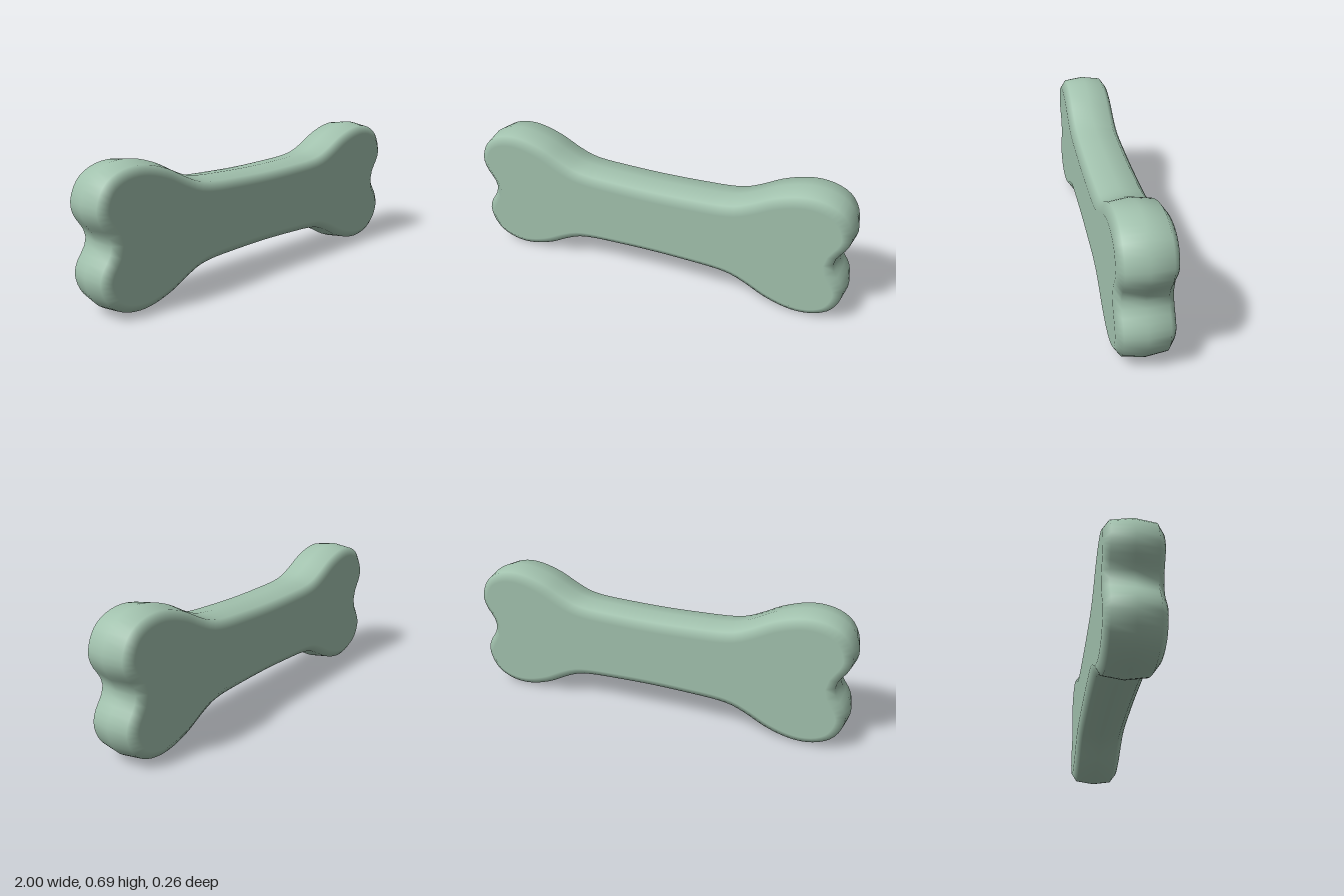
import * as THREE from 'three';

// Upper right quarter of the outline, from end notch to middle of shaft (y from centre line)
const QUARTER = [
  [0.935, 0], [0.947, 0.04], [0.975, 0.08], [0.995, 0.125], [1.0, 0.165], [0.985, 0.225],
  [0.955, 0.275], [0.92, 0.305], [0.86, 0.332], [0.78, 0.343], [0.7, 0.333], [0.6, 0.3],
  [0.5, 0.248], [0.43, 0.218], [0.36, 0.205], [0.2, 0.197], [0, 0.193],
];
const CENTRE_Y = 0.344;
// Cross-section rounding: [z, inset of the outline]
const RINGS = [[-0.13, 0.056], [-0.1, 0.014], [0, 0], [0.1, 0.014], [0.13, 0.056]];
const N = 160;

// Mirror the quarter into a closed anticlockwise curve
function outlineCurve() {
  const upper = [...QUARTER, ...QUARTER.slice(0, -1).reverse().map(([x, y]) => [-x, y])];
  const lower = upper.slice(1, -1).reverse().map(([x, y]) => [x, -y]);
  const points = [...upper, ...lower].map(([x, y]) => new THREE.Vector3(x, y, 0));
  return new THREE.CatmullRomCurve3(points, true, 'centripetal');
}

function boneGeometry() {
  const curve = outlineCurve();
  const positions = [], index = [];

  // Rounded rim: inset copies of the outline joined by quads
  RINGS.forEach(([z, inset]) => {
    for (let i = 0; i < N; i++) {
      const p = curve.getPointAt(i / N);
      const t = curve.getTangentAt(i / N);
      positions.push(p.x - t.y * inset, CENTRE_Y + p.y + t.x * inset, z);
    }
  });
  for (let r = 0; r < RINGS.length - 1; r++) {
    for (let i = 0; i < N; i++) {
      const j = (i + 1) % N;
      const a = r * N + i, b = r * N + j, c = a + N, d = b + N;
      index.push(a, b, d, a, d, c);
    }
  }
  const geometry = new THREE.BufferGeometry();
  geometry.setAttribute('position', new THREE.Float32BufferAttribute(positions, 3));
  geometry.setIndex(index);
  geometry.computeVertexNormals();

  // Flat faces on both sides, with the rim shading running smoothly into them
  const last = (RINGS.length - 1) * N;
  const contour = [];
  for (let i = 0; i < N; i++) {
    contour.push(new THREE.Vector2(positions[i * 3], positions[i * 3 + 1]));
    geometry.attributes.normal.setXYZ(i, 0, 0, -1);
    geometry.attributes.normal.setXYZ(last + i, 0, 0, 1);
  }
  THREE.ShapeUtils.triangulateShape(contour, []).forEach(([a, b, c]) => {
    index.push(last + a, last + b, last + c, a, c, b);
  });
  geometry.setIndex(index);
  return geometry;
}

export function createModel() {
  const group = new THREE.Group();
  group.name = 'toyBone';
  const sageGreen = new THREE.MeshStandardMaterial({ color: 0xa2c2ae });
  sageGreen.name = 'sageGreen';
  const bone = new THREE.Mesh(boneGeometry(), sageGreen);
  bone.name = 'bone';
  group.add(bone);
  return group;
}
